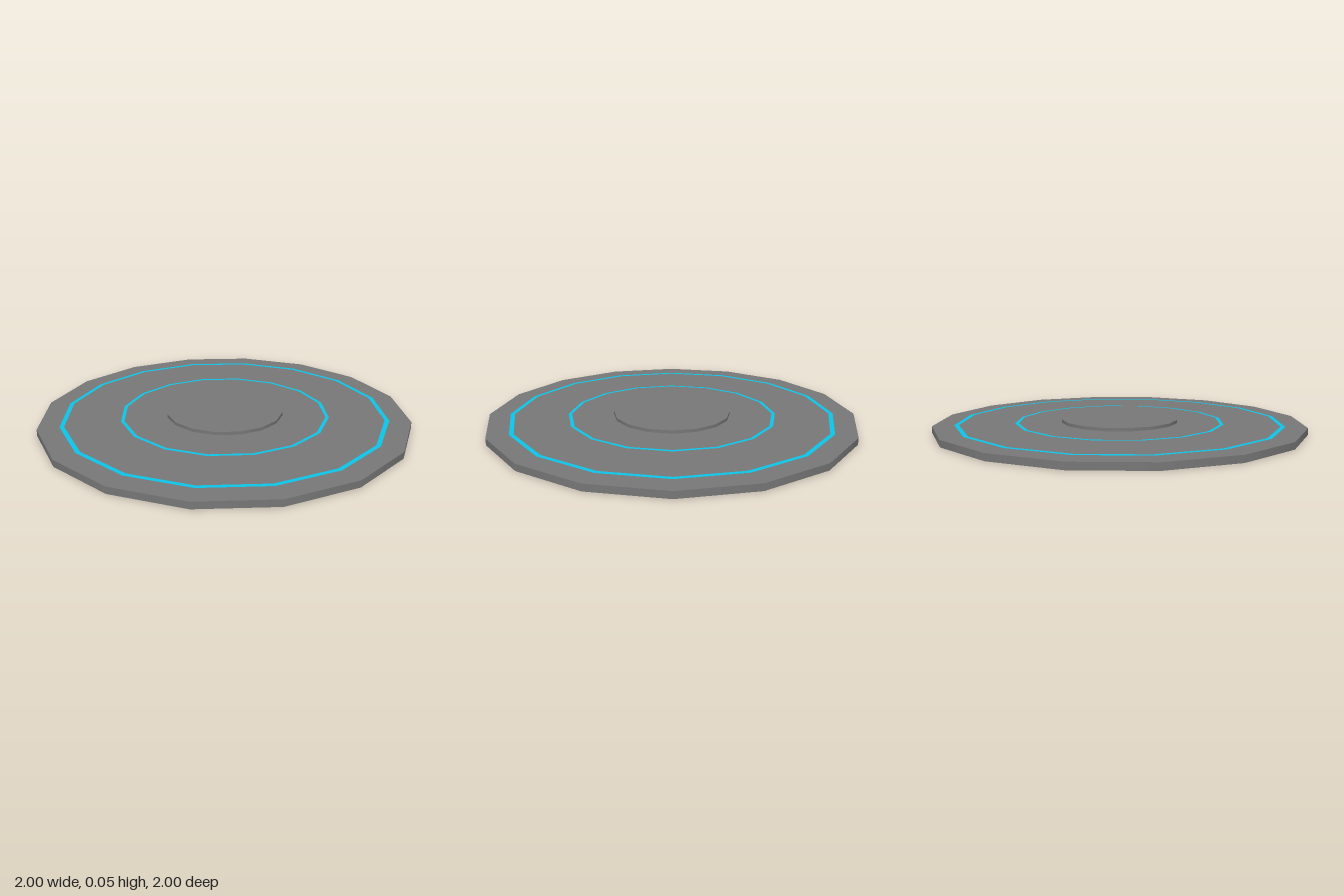
import * as THREE from 'three';

const SIDES = 16;
const BASE_TOP = 0.036;

export function createModel() {
  const model = new THREE.Group();
  model.name = 'roundPlatform';

  const darkGrey = new THREE.MeshStandardMaterial({ color: 0x777777 });
  const cyan = new THREE.MeshStandardMaterial({ color: 0x0cc4e8, side: THREE.DoubleSide });

  // Disc with a smooth-shaded rim, standing on height y
  const addDisc = (name, radius, y, height) => {
    const disc = new THREE.Mesh(new THREE.CylinderGeometry(radius, radius, height, SIDES), darkGrey);
    disc.name = name;
    disc.position.y = y + height / 2;
    model.add(disc);
  };

  // Flat coloured band lying just above the base
  const addBand = (name, inner, outer) => {
    const band = new THREE.Mesh(new THREE.RingGeometry(inner, outer, SIDES), cyan);
    band.name = name;
    band.rotation.x = -Math.PI / 2;
    band.position.y = BASE_TOP + 0.002;
    model.add(band);
  };

  addDisc('base', 1, 0, BASE_TOP);
  addDisc('centerPad', 0.317, BASE_TOP, 0.017);
  addBand('outerBand', 0.861, 0.885);
  addBand('innerBand', 0.548, 0.567);

  return model;
}
